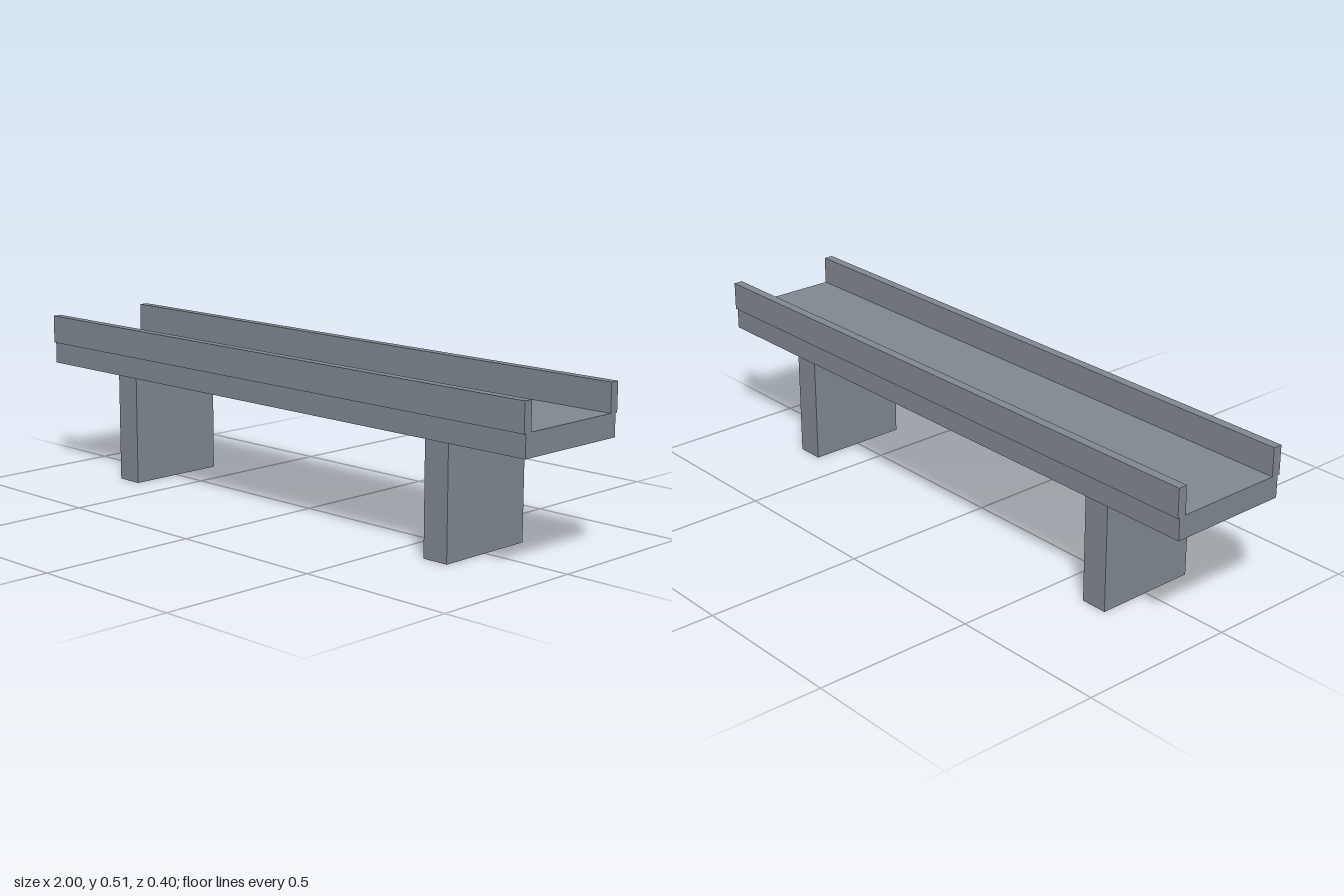
import * as THREE from 'three';

export function createModel() {
  const group = new THREE.Group();
  const concrete = new THREE.MeshStandardMaterial({ color: 0x808890 });
  concrete.name = 'concrete grey';

  // Box given by its size, centre x and z, and bottom y
  const addBox = (name, [w, h, d], x, bottom, z) => {
    const mesh = new THREE.Mesh(new THREE.BoxGeometry(w, h, d), concrete);
    mesh.name = name;
    mesh.position.set(x, bottom + h / 2, z);
    group.add(mesh);
  };

  // Bridge deck
  addBox('deck', [2, 0.07, 0.385], 0, 0.351, 0);

  // Parapets, slightly overhanging the deck edges
  addBox('frontParapet', [2, 0.089, 0.029], 0, 0.419, 0.185);
  addBox('backParapet', [2, 0.089, 0.029], 0, 0.419, -0.185);

  // Support piers
  addBox('leftPier', [0.086, 0.351, 0.328], 0.665, 0, 0);
  addBox('rightPier', [0.086, 0.351, 0.328], -0.665, 0, 0);

  return group;
}
